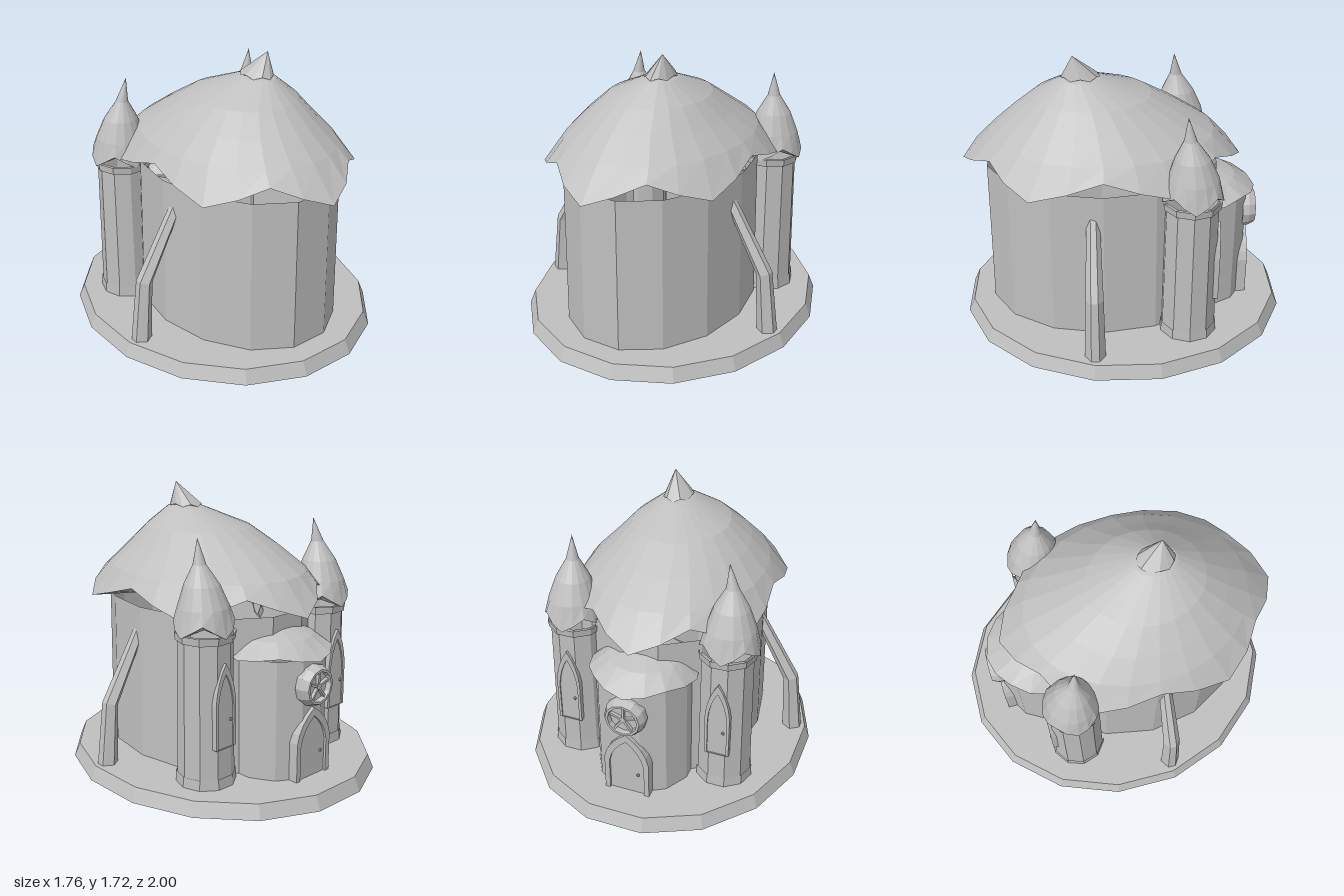
import * as THREE from 'three';

const stone = new THREE.MeshStandardMaterial({ color: 0xbfbfbf, flatShading: true, side: THREE.DoubleSide });
stone.name = 'grey stone';

function add(parent, geometry, name, x = 0, y = 0, z = 0) {
  const mesh = new THREE.Mesh(geometry, stone);
  mesh.name = name;
  mesh.position.set(x, y, z);
  parent.add(mesh);
  return mesh;
}

// Open elliptical tube between y0 and y1, with a flat side facing front
function tube(rx, rz, y0, y1, sides, taper = 1) {
  const g = new THREE.CylinderGeometry(taper, 1, y1 - y0, sides, 1, true);
  g.rotateY(Math.PI / sides);
  g.scale(rx, 1, rz);
  g.translate(0, (y0 + y1) / 2, 0);
  return g;
}

// Roof skin from stacked rings [cx, y, cz, rx, rz, tipGrow, tipDrop] up to an apex.
// The eave swings between high valleys and low tips; a fan to `under` closes it below.
function scallopRoof(rings, apex, under, tips, sides) {
  const point = ([cx, y, cz, rx, rz, grow = 1, drop = 0], i) => {
    const a = (i / sides) * Math.PI * 2;
    const phase = ((i * tips) / sides) % 1;
    const t = Math.abs(1 - 2 * phase);
    const k = 1 + (grow - 1) * t;
    return [cx + Math.sin(a) * rx * k, y - drop * t, cz + Math.cos(a) * rz * k];
  };
  const pos = [];
  const last = rings[rings.length - 1];
  for (let i = 0; i < sides; i++) {
    for (let r = 0; r < rings.length - 1; r++) {
      const a = point(rings[r], i), b = point(rings[r], i + 1);
      const c = point(rings[r + 1], i + 1), d = point(rings[r + 1], i);
      pos.push(...a, ...b, ...c, ...a, ...c, ...d);
    }
    pos.push(...point(last, i), ...point(last, i + 1), ...apex);
    pos.push(...point(rings[0], i + 1), ...point(rings[0], i), ...under);
  }
  const g = new THREE.BufferGeometry();
  g.setAttribute('position', new THREE.Float32BufferAttribute(pos, 3));
  g.computeVertexNormals();
  return g;
}

// Pointed arch outline standing on y = 0
function arch(path, w, h) {
  const s = h * 0.55;
  path.moveTo(-w, 0);
  path.lineTo(w, 0);
  path.lineTo(w, s);
  path.quadraticCurveTo(w * 0.85, s + (h - s) * 0.6, 0, h);
  path.quadraticCurveTo(-w * 0.85, s + (h - s) * 0.6, -w, s);
  path.lineTo(-w, 0);
  return path;
}

const extrude = (shape, depth) =>
  new THREE.ExtrudeGeometry(shape, { depth, bevelEnabled: false, curveSegments: 4 });

// Arched door with raised frame and knob, facing -z
function makeDoor(name, w, h, depth) {
  const door = new THREE.Group();
  door.name = name;
  const frame = arch(new THREE.Shape(), w, h);
  frame.holes.push(arch(new THREE.Path(), w * 0.78, h * 0.88));
  add(door, extrude(frame, depth), 'doorFrame');
  add(door, extrude(arch(new THREE.Shape(), w * 0.8, h * 0.9), depth * 0.75), 'doorPanel');
  add(door, new THREE.SphereGeometry(0.01, 6, 4), 'doorKnob', w * 0.5, h * 0.33, depth * 0.75 + 0.007);
  door.rotation.y = Math.PI;
  return door;
}

function makeTower(side) {
  const tower = new THREE.Group();
  tower.name = side > 0 ? 'leftTower' : 'rightTower';
  add(tower, tube(0.168, 0.168, 0.005, 0.985, 10, 0.935), 'towerWall');
  add(tower, tube(0.177, 0.177, 0.08, 0.15, 10, 0.98), 'towerFoot');
  add(tower, tube(0.17, 0.172, 0.94, 0.985, 10, 1.03), 'towerCollar');
  // Both spires lean the same way
  add(tower, scallopRoof([
    [0, 1.055, 0, 0.172, 0.172, 1.04, 0.08],
    [0, 1.13, 0.005, 0.147, 0.147],
    [0.003, 1.25, 0.015, 0.102, 0.102],
    [0.006, 1.36, 0.03, 0.038, 0.038],
  ], [0.02 - 0.012 * side, 1.505, 0.045], [0, 0.99, 0], 4, 16), 'towerRoof', 0.012 * side, 0, -0.005);
  const door = makeDoor('towerDoor', 0.075, 0.5, 0.035);
  door.position.set(0, 0.33, -0.135);
  tower.add(door);
  tower.position.set(0.475 * side, 0, -0.38);
  return tower;
}

// Bent buttress: six-sided section swept up through three stations
function makeButtress(side) {
  // outer x, outer y, inner x, inner y, half width
  const stations = [
    [0.823, 0.03, 0.708, 0.03, 0.063],
    [0.77, 0.47, 0.685, 0.45, 0.053],
    [0.51, 0.905, 0.51, 0.78, 0.04],
  ];
  const section = [[0, 0.4], [0, -0.4], [0.5, -1], [1, -0.4], [1, 0.4], [0.5, 1]];
  const pos = [], index = [];
  for (const [ox, oy, ix, iy, w] of stations) {
    for (const [t, s] of section) pos.push((ox + (ix - ox) * t) * side, oy + (iy - oy) * t, s * w * side);
  }
  for (let r = 0; r < 2; r++) {
    for (let i = 0; i < 6; i++) {
      const a = r * 6 + i, b = r * 6 + ((i + 1) % 6);
      index.push(a, b, b + 6, a, b + 6, a + 6);
    }
  }
  const g = new THREE.BufferGeometry();
  g.setAttribute('position', new THREE.Float32BufferAttribute(pos, 3));
  g.setIndex(index);
  const flat = g.toNonIndexed();
  flat.computeVertexNormals();
  const mesh = new THREE.Mesh(flat, stone);
  mesh.name = side > 0 ? 'leftButtress' : 'rightButtress';
  mesh.position.z = 0.19;
  return mesh;
}

// Round window: bevelled rim, recessed pane, hub and five spokes, facing -z
function makeRoundWindow() {
  const win = new THREE.Group();
  win.name = 'roundWindow';
  const profile = [[0.125, 0], [0.125, 0.04], [0.105, 0.083], [0.09, 0.083], [0.085, 0.045]];
  const rim = new THREE.LatheGeometry(profile.map(([x, y]) => new THREE.Vector2(x, y)), 12);
  rim.rotateX(Math.PI / 2);
  add(win, rim, 'windowRim');
  const pane = new THREE.CylinderGeometry(0.09, 0.09, 0.05, 12);
  pane.rotateX(Math.PI / 2);
  add(win, pane, 'windowPane', 0, 0, 0.025);
  const hub = new THREE.CylinderGeometry(0.018, 0.018, 0.025, 8);
  hub.rotateX(Math.PI / 2);
  add(win, hub, 'windowHub', 0, 0, 0.06);
  for (let i = 0; i < 5; i++) {
    const bar = new THREE.BoxGeometry(0.014, 0.09, 0.022);
    bar.translate(0, 0.045, 0.06);
    add(win, bar, 'windowSpoke').rotation.z = (i / 5) * Math.PI * 2;
  }
  win.rotation.y = Math.PI;
  win.position.set(0, 0.65, -0.745);
  return win;
}

export function createModel() {
  const model = new THREE.Group();
  model.name = 'tower hall';

  // Hollow plinth: sloping skirt and a deck on top
  add(model, tube(0.897, 1.02, 0, 0.085, 16, 0.963), 'plinthSkirt');
  const deck = new THREE.CircleGeometry(0.963, 16, Math.PI / 16);
  deck.rotateX(-Math.PI / 2);
  deck.scale(0.897, 1, 1.02);
  add(model, deck, 'plinthDeck', 0, 0.085, 0);

  // Main hall
  add(model, tube(0.543, 0.72, 0.083, 1.03, 14, 0.985), 'hallWall', 0, 0, 0.13);

  // Main roof, its summit leaning to the front left
  add(model, scallopRoof([
    [0, 1.15, 0.13, 0.59, 0.755, 1.12, 0.12],
    [0, 1.22, 0.128, 0.535, 0.675],
    [0, 1.34, 0.155, 0.415, 0.515],
    [0.015, 1.455, 0.185, 0.295, 0.35],
    [0.06, 1.565, 0.25, 0.1, 0.125],
  ], [0.08, 1.6, 0.27], [0, 1.05, 0.13], 6, 24), 'hallRoof');
  add(model, scallopRoof([
    [0.06, 1.585, 0.25, 0.085, 0.11, 1.05, 0.015],
  ], [0.1, 1.715, 0.295], [0.06, 1.56, 0.25], 6, 12), 'roofSpike');

  // Entrance annex at the back
  add(model, tube(0.3, 0.31, 0.06, 0.81, 12, 0.99), 'annexWall', 0, 0, -0.465);
  add(model, scallopRoof([
    [0, 0.835, -0.485, 0.315, 0.32, 1.05, 0.035],
    [0, 0.9, -0.475, 0.225, 0.215],
    [0, 0.94, -0.465, 0.12, 0.11],
  ], [0, 0.955, -0.465], [0, 0.81, -0.465], 4, 16), 'annexRoof');
  const door = makeDoor('entranceDoor', 0.14, 0.43, 0.062);
  door.position.set(0, 0.085, -0.725);
  model.add(door, makeRoundWindow());

  for (const side of [1, -1]) model.add(makeTower(side), makeButtress(side));
  return model;
}
